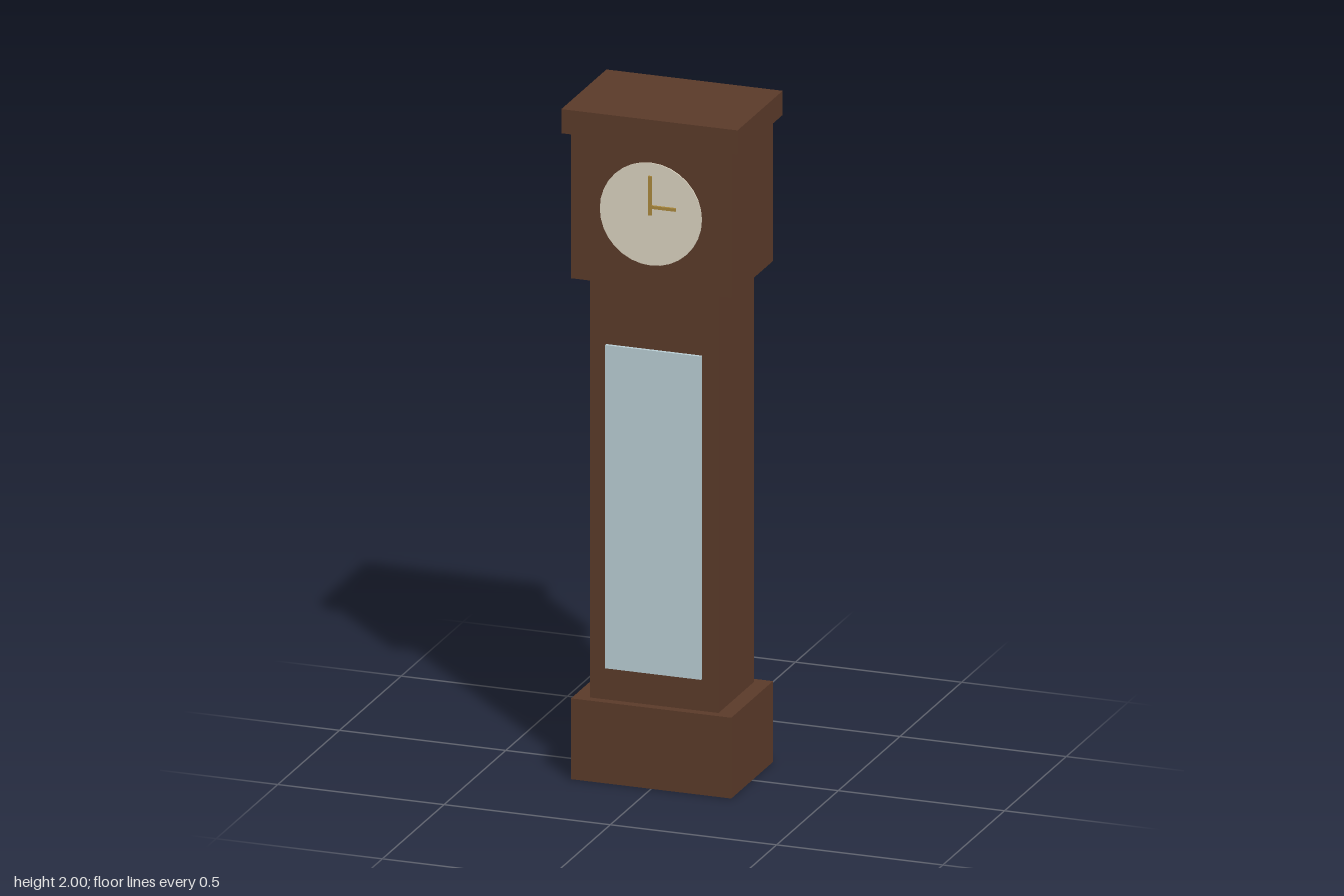
import * as THREE from 'three';

const paint = (color) => new THREE.MeshStandardMaterial({ color });

export function createModel() {
  const clock = new THREE.Group();
  clock.name = 'longcaseClock';
  const wood = paint(0x5a3a29);
  const glass = paint(0xb8ccd2);
  const ivory = paint(0xd8d0be);
  const brass = paint(0xa8873c);

  const add = (name, geometry, material, x, y, z) => {
    const mesh = new THREE.Mesh(geometry, material);
    mesh.name = name;
    mesh.position.set(x, y, z);
    clock.add(mesh);
    return mesh;
  };
  // Box given by its lower and upper limits on each axis
  const block = (name, material, [x0, x1], [y0, y1], [z0, z1]) =>
    add(name, new THREE.BoxGeometry(x1 - x0, y1 - y0, z1 - z0), material,
      (x0 + x1) / 2, (y0 + y1) / 2, (z0 + z1) / 2);

  // Case, stacked from the floor up: name, half width, bottom, top, half depth
  for (const [name, w, y0, y1, d] of [
    ['plinth', 0.241, 0, 0.241, 0.169],
    ['trunk', 0.193, 0.241, 1.494, 0.143],
    ['hood', 0.241, 1.494, 1.928, 0.169],
    ['cornice', 0.265, 1.928, 2, 0.183],
  ]) block(name, wood, [-w, w], [y0, y1], [-d, d]);

  // Glass door panel
  block('doorGlass', glass, [-0.144, 0.144], [0.337, 1.301], [0.139, 0.153]);

  // Dial
  const dial = new THREE.CylinderGeometry(0.153, 0.153, 0.01, 32);
  dial.rotateX(Math.PI / 2);
  add('dial', dial, ivory, 0, 1.715, 0.168);

  // Hands, showing three o'clock
  block('minuteHand', brass, [-0.005, 0.005], [1.714, 1.83], [0.174, 0.181]);
  block('hourHand', brass, [0, 0.077], [1.734, 1.743], [0.174, 0.181]);

  return clock;
}
